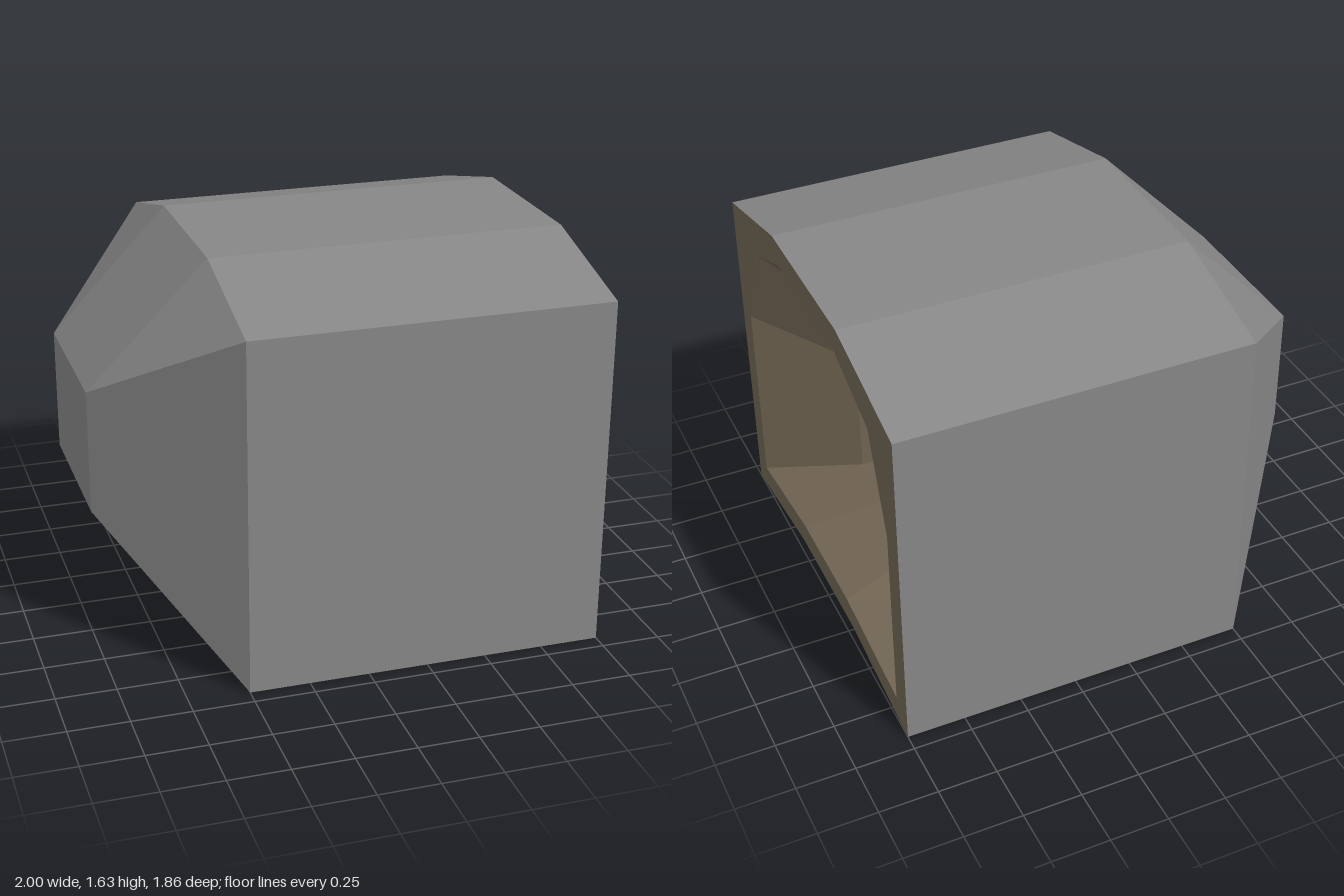
import * as THREE from 'three';

const material = (name, color) => {
  const m = new THREE.MeshStandardMaterial({ color });
  m.name = name;
  return m;
};

// Closed ring of [z, y] points from one half, mirrored across z = 0
const mirrorRing = (half) => [...half, ...half.slice().reverse().map(([z, y]) => [-z, y])];

// Flat-faced skin through [x, ring] sections; going toward -x faces outward, toward +x inward
function loft(sections) {
  const pos = [];
  for (let s = 0; s < sections.length - 1; s++) {
    const [xa, a] = sections[s], [xb, b] = sections[s + 1];
    for (let i = 0; i < a.length; i++) {
      const j = (i + 1) % a.length;
      const p = (x, [z, y]) => [x, y, z];
      const q = [p(xa, a[i]), p(xa, a[j]), p(xb, b[j]), p(xb, b[i])];
      pos.push(...q[0], ...q[1], ...q[2], ...q[0], ...q[2], ...q[3]);
    }
  }
  const g = new THREE.BufferGeometry();
  g.setAttribute('position', new THREE.Float32BufferAttribute(pos, 3));
  g.computeVertexNormals();
  return g;
}

export function createModel() {
  const stone = material('grey stone', 0x868686);
  const earth = material('brown earth', 0x716553);
  const wood = material('brown wood', 0x75685a);
  const pale = material('pale grey', 0x83878b);
  const model = new THREE.Group();
  model.name = 'tunnelEntrance';

  const add = (parent, name, geometry, mat) => {
    const mesh = new THREE.Mesh(geometry, mat);
    mesh.name = name;
    parent.add(mesh);
    return mesh;
  };
  const box = (parent, name, mat, size, at) =>
    add(parent, name, new THREE.BoxGeometry(...size), mat).position.set(...at);

  // Outer shell: straight body, then a taper to a small flat end
  const outer = mirrorRing([[0.31, 0.08], [0.93, 0], [0.93, 0.5], [0.93, 1], [0.93, 1.49], [0.37, 1.635]]);
  const lo = [0.35, 0.6], hi = [0.35, 1.12];
  const end = mirrorRing([lo, lo, lo, hi, hi, hi]);
  const endCentre = end.map(() => [0, 0.86]);
  add(model, 'outerShell', loft([[1, outer], [-0.5, outer], [-1, end], [-1, endCentre]]), stone);

  // Inner passage: flared mouth, narrow tunnel, shallow faceted back wall
  const mouth = mirrorRing([[0.26, 0.19], [0.82, 0.12], [0.82, 0.97], [0.67, 1.38], [0.315, 1.525]]);
  const throat = mirrorRing([[0.18, 0.28], [0.525, 0.23], [0.525, 0.81], [0.43, 1.08], [0.2, 1.18]]);
  const deep = mirrorRing([[0.16, 0.31], [0.44, 0.27], [0.44, 0.78], [0.37, 1.025], [0.17, 1.11]]);
  const backLo = [0.17, 0.58], backHi = [0.17, 0.84];
  const back = mirrorRing([backLo, backLo, backHi, backHi, backHi]);
  const backCentre = back.map(() => [0, 0.71]);
  add(model, 'innerPassage', loft([
    [-0.18, backCentre], [-0.18, back], [-0.08, deep], [0.63, throat], [1, mouth],
  ]), earth);

  // Flat rim around the mouth
  const points = (ring) => ring.map(([z, y]) => new THREE.Vector2(-z, y));
  const rim = new THREE.Shape(points(outer));
  rim.holes.push(new THREE.Path(points(mouth)));
  add(model, 'mouthRim', new THREE.ShapeGeometry(rim).rotateY(Math.PI / 2).translate(1, 0, 0), earth);

  // Fence across the throat
  const fence = new THREE.Group();
  fence.name = 'fence';
  model.add(fence);
  for (const side of [-1, 1]) {
    box(fence, 'fencePost', wood, [0.06, 0.435, 0.065], [0.55, 0.485, side * 0.275]);
  }
  for (const y of [0.4, 0.52, 0.637]) {
    box(fence, 'fenceSlat', wood, [0.02, 0.075, 0.57], [0.59, y, 0]);
  }

  // Worn pale patches: [y, z, height, width, x]
  for (const [y, z, h, w, x] of [
    [0.61, -0.2, 0.02, 0.08, 0.601], [0.49, -0.2, 0.02, 0.08, 0.601], [0.37, -0.2, 0.02, 0.09, 0.601],
    [0.665, 0.265, 0.015, 0.035, 0.601], [0.547, 0.265, 0.012, 0.035, 0.601],
    [0.69, -0.27, 0.02, 0.04, 0.581], [0.58, -0.275, 0.04, 0.06, 0.581], [0.295, -0.275, 0.045, 0.06, 0.581],
  ]) box(fence, 'wornPatch', pale, [0.004, h, w], [x, y, z]);

  return model;
}
